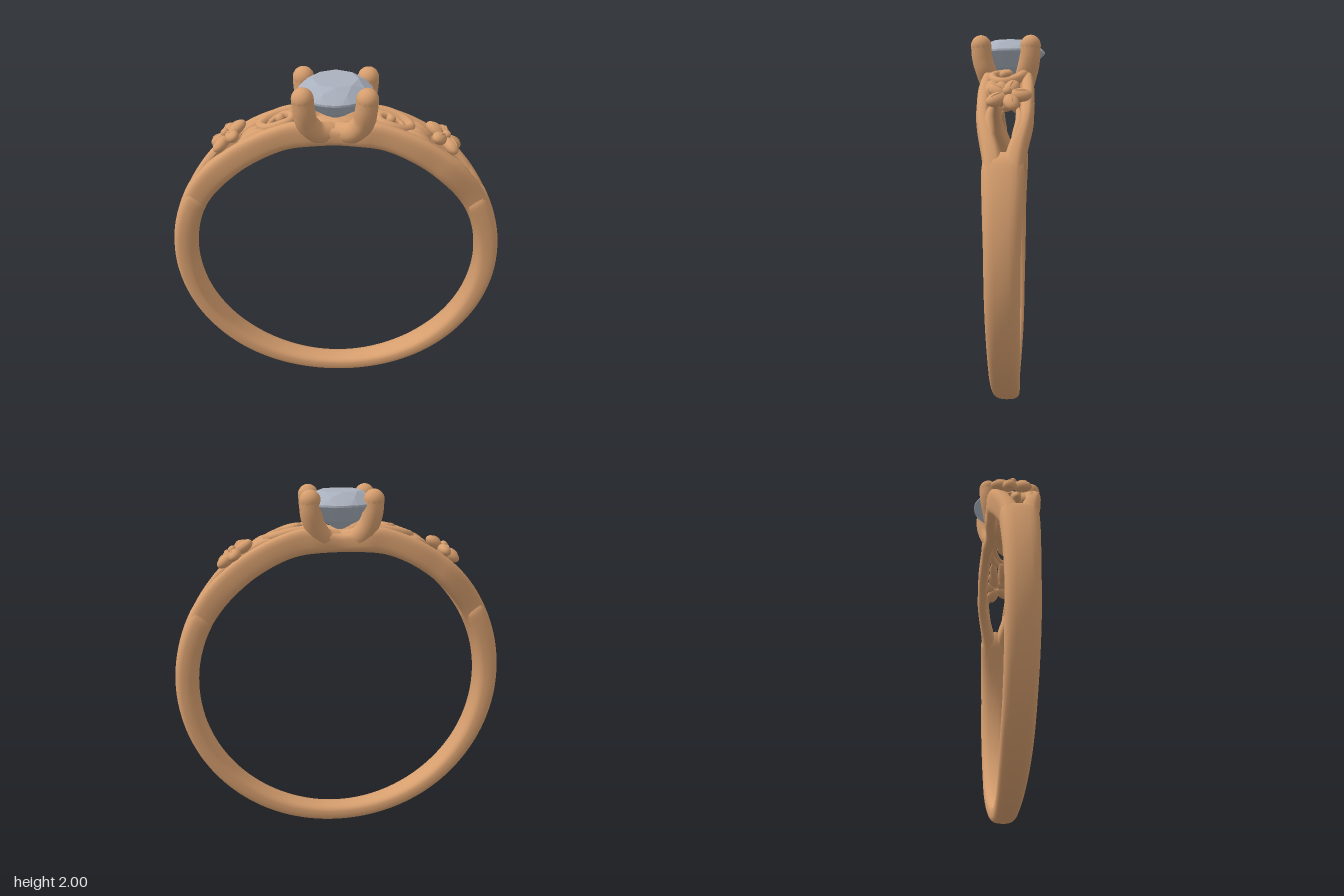
import * as THREE from 'three';
import { ConvexGeometry } from 'three/addons/geometries/ConvexGeometry.js';

const V = (x, y, z) => new THREE.Vector3(x, y, z);
const gold = new THREE.MeshStandardMaterial({ color: 0xd69e6e });
gold.name = 'rose gold';
const crystal = new THREE.MeshStandardMaterial({ color: 0xaab1be, flatShading: true });
crystal.name = 'pale crystal';

function add(parent, name, geometry, material = gold) {
  const mesh = new THREE.Mesh(geometry, material);
  mesh.name = name;
  parent.add(mesh);
  return mesh;
}

// Smooth interpolation through [angle, value] pairs
function ramp(x, pairs) {
  for (let i = 1; i < pairs.length; i++) {
    const [x0, y0] = pairs[i - 1], [x1, y1] = pairs[i];
    if (x <= x1) return y0 + (y1 - y0) * THREE.MathUtils.smoothstep(x, x0, x1);
  }
  return pairs[pairs.length - 1][1];
}

// Point in the hoop: angle from the top, f = 0 on the finger side, 1 outside
function hoopPoint(a, f, z) {
  const r = 0.795 + 0.125 * f;
  return [Math.sin(a) * r, 0.895 + 0.025 * f + Math.cos(a) * r, z];
}

// Rounded-rectangle section swept round the hoop, with softly closed ends
function sweep(a0, a1, steps, section) {
  const sides = 24, pos = [], idx = [];
  const soft = v => Math.sign(v) * Math.pow(Math.abs(v), 0.7);
  for (let i = 0; i <= steps; i++) {
    const a = a0 + (a1 - a0) * i / steps;
    const k = Math.sqrt(Math.min(1, Math.min(a - a0, a1 - a) / 0.1 + 1e-6));
    const { z, w, lo = 0, hi = 1 } = section(a);
    for (let j = 0; j < sides; j++) {
      const u = j / sides * Math.PI * 2;
      const f = (lo + hi) / 2 + (hi - lo) / 2 * k * soft(Math.cos(u));
      pos.push(...hoopPoint(a, f, z + w * k * soft(Math.sin(u))));
      if (i < steps) {
        const p = i * sides + j, q = i * sides + (j + 1) % sides;
        idx.push(p, q, q + sides, p, q + sides, p + sides);
      }
    }
  }
  const g = new THREE.BufferGeometry();
  g.setAttribute('position', new THREE.Float32BufferAttribute(pos, 3));
  g.setIndex(idx);
  g.computeVertexNormals();
  return g;
}

// Tube whose radius follows a rule along its length
function taperTube(points, radius, seg = 40) {
  const curve = new THREE.CatmullRomCurve3(points), sides = 12;
  const g = new THREE.TubeGeometry(curve, seg, 1, sides);
  const p = g.attributes.position, v = V();
  for (let i = 0; i < p.count; i++) {
    const t = Math.floor(i / (sides + 1)) / seg, c = curve.getPointAt(t);
    v.fromBufferAttribute(p, i).sub(c).multiplyScalar(radius(t)).add(c);
    p.setXYZ(i, v.x, v.y, v.z);
  }
  g.computeVertexNormals();
  return g;
}

// Point on the shoulder surface, lifted by h
function onShoulder(x, z, h = 0) {
  const a = Math.asin(x / 0.92), r = 0.92 + h;
  return V(Math.sin(a) * r, 0.92 + Math.cos(a) * r, z);
}

function ellipsoid(x, y, z) {
  return new THREE.SphereGeometry(1, 20, 14).scale(x, y, z);
}

function buildFlower(s) {
  const flower = new THREE.Group();
  flower.name = 'flower';
  flower.position.copy(onShoulder(s * 0.545, -0.012, 0.005));
  flower.rotation.z = -s * 0.63;
  for (let i = 0; i < 5; i++) {
    const a = i * Math.PI * 2 / 5 + Math.PI / 2;
    const petal = add(flower, 'petal', ellipsoid(0.055, 0.03, 0.037));
    petal.position.set(s * Math.cos(a) * 0.062, 0.008, -Math.sin(a) * 0.062);
    petal.rotation.set(0, s * a + (s < 0 ? Math.PI : 0), 0);
    // Raised vein down the middle of each petal
    const vein = add(flower, 'petalVein', ellipsoid(0.03, 0.01, 0.006));
    vein.position.copy(petal.position).setY(0.032);
    vein.rotation.copy(petal.rotation);
  }
  add(flower, 'flowerCentre', ellipsoid(0.023, 0.02, 0.023)).position.y = 0.03;
  return flower;
}

function buildShoulder(s) {
  const shoulder = new THREE.Group();
  shoulder.name = s > 0 ? 'leftShoulder' : 'rightShoulder';
  shoulder.add(buildFlower(s));
  const strand = (name, pts, radius) => add(shoulder, name,
    taperTube(pts.map(([x, z, h]) => onShoulder(s * x, z, h)), radius));

  // Curling scroll beside the setting
  strand('scroll', [[0.18, -0.085, -0.03], [0.27, -0.075, -0.02], [0.35, -0.045, -0.015],
    [0.385, 0.01, -0.015], [0.35, 0.06, -0.02], [0.28, 0.075, -0.02], [0.225, 0.05, -0.02],
    [0.225, 0.005, -0.015], [0.265, -0.01, -0.01], [0.285, 0.02, -0.01]],
  t => 0.027 - 0.008 * t);
  add(shoulder, 'scrollTip', ellipsoid(0.024, 0.022, 0.024))
    .position.copy(onShoulder(s * 0.28, 0.017, -0.012));
  strand('upperTendril', [[0.2, -0.06, -0.03], [0.29, -0.035, -0.02], [0.34, 0.0, -0.025],
    [0.35, 0.05, -0.03]], t => 0.018 - 0.008 * t);

  // Leaves joining scroll, flower and rails
  const leaf = (pts, r) => strand('leaf', pts, t => 0.002 + r * Math.pow(Math.sin(Math.PI * t), 0.7));
  leaf([[0.33, 0.085, -0.04], [0.41, 0.07, -0.035], [0.53, 0.09, -0.04]], 0.037);
  leaf([[0.36, 0.0, -0.03], [0.42, 0.025, -0.035], [0.5, 0.02, -0.03]], 0.034);
  leaf([[0.35, -0.05, -0.03], [0.42, -0.04, -0.025], [0.5, -0.02, -0.02]], 0.025);
  leaf([[0.56, 0.06, -0.03], [0.64, 0.075, -0.03], [0.74, 0.05, -0.02]], 0.025);
  leaf([[0.57, -0.06, -0.03], [0.65, -0.075, -0.03], [0.75, -0.04, -0.02]], 0.022);
  return shoulder;
}

function buildGem() {
  const pts = [V(0, 1.775, 0)];
  const ring = (n, r, y, turn = 0) => {
    for (let i = 0; i < n; i++) {
      const a = (i + turn) / n * Math.PI * 2;
      pts.push(V(Math.cos(a) * r, y, Math.sin(a) * r));
    }
  };
  ring(8, 0.112, 1.985);
  ring(8, 0.152, 1.962, 0.5);
  ring(32, 0.186, 1.928);
  ring(32, 0.186, 1.918);
  ring(8, 0.115, 1.84, 0.5);
  return new ConvexGeometry(pts);
}

export function createModel() {
  const model = new THREE.Group();
  model.name = 'ring';

  // Lower band, narrowest at the bottom
  add(model, 'band', sweep(0.95, Math.PI * 2 - 0.95, 140, a => ({
    z: 0,
    w: ramp(Math.min(a, Math.PI * 2 - a), [[0.95, 0.1], [1.6, 0.083], [2.3, 0.077], [Math.PI, 0.062]]),
  })));

  // Two rails branching from the band and passing under the setting
  for (const s of [1, -1]) {
    add(model, s > 0 ? 'frontRail' : 'backRail', sweep(-1.3, 1.3, 110, angle => {
      const a = Math.abs(angle);
      return {
        z: s * ramp(a, [[0, 0.08], [0.2, 0.1], [0.5, 0.108], [0.68, 0.104], [1.1, 0.043], [1.3, 0.04]]),
        w: ramp(a, [[0, 0.04], [0.3, 0.033], [0.7, 0.033], [1.05, 0.046], [1.3, 0.04]]),
        lo: ramp(a, [[0, -0.08], [0.35, 0.06], [1, 0.02], [1.3, 0.06]]),
        hi: ramp(a, [[0, 0.55], [0.25, 0.93], [1, 0.97], [1.3, 0.94]]),
      };
    }));
  }

  for (const s of [1, -1]) model.add(buildShoulder(s));

  // Setting: saddle and four claws
  const setting = new THREE.Group();
  setting.name = 'setting';
  model.add(setting);
  add(setting, 'saddle', ellipsoid(0.15, 0.055, 0.11)).position.y = 1.735;
  for (const sx of [1, -1]) for (const sz of [1, -1]) {
    const x = sz > 0 ? 0.153 : 0.162, z = sz > 0 ? 0.143 : -0.118;
    const claw = new THREE.Group();
    claw.name = 'claw';
    setting.add(claw);
    add(claw, 'clawStem', taperTube([V(sx * 0.02, 1.73, z * 0.4), V(sx * 0.09, 1.75, z * 0.65),
      V(sx * 0.138, 1.815, z * 0.83), V(sx * (x - 0.005), 1.88, z * 0.96), V(sx * x, 1.946, z)],
    t => 0.056 - 0.002 * t));
    add(claw, 'clawTip', ellipsoid(0.054, 0.054, 0.054)).position.set(sx * x, 1.946, z);
  }

  add(model, 'gem', buildGem(), crystal).position.z = -0.01;
  return model;
}
